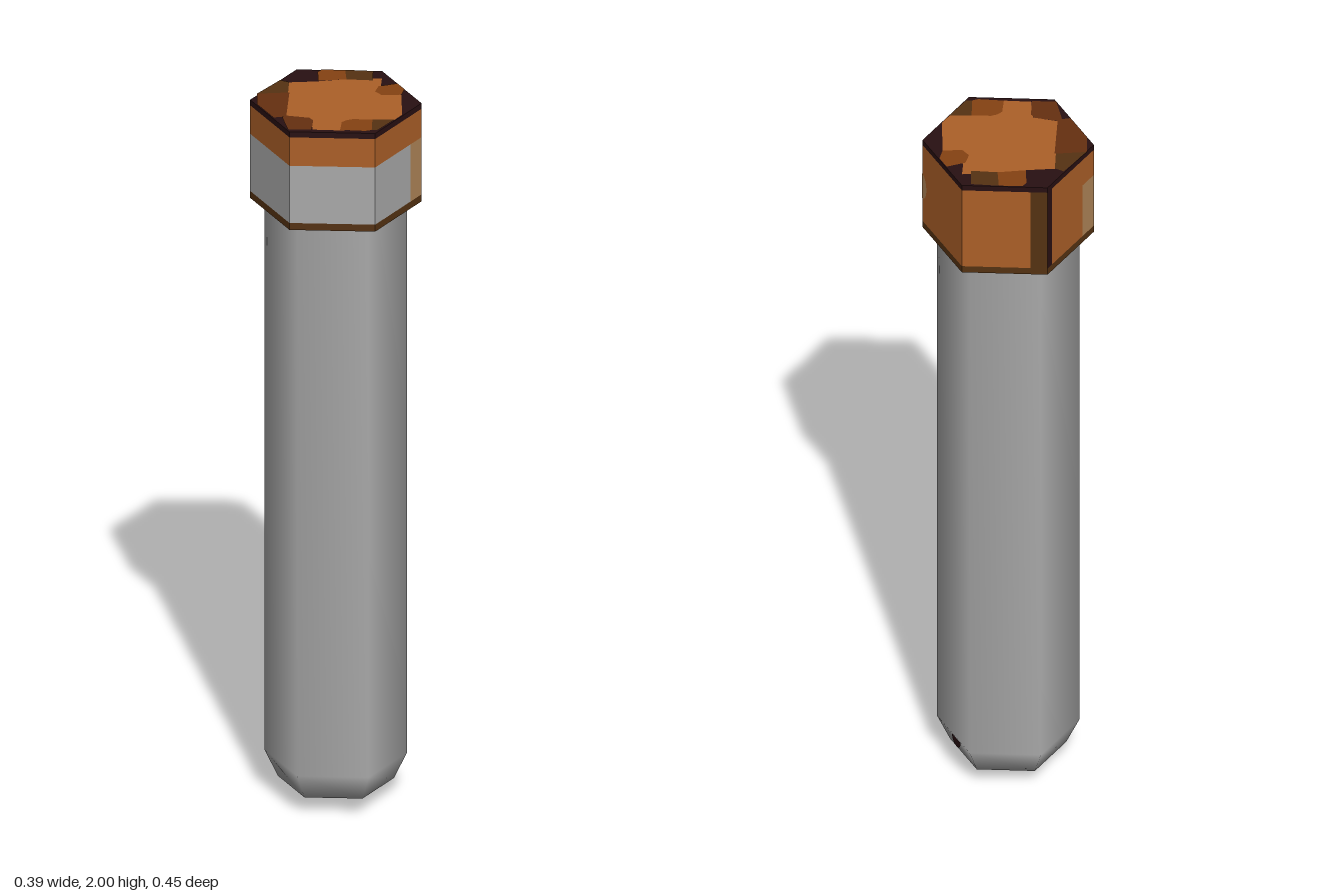
import * as THREE from 'three';

const R = 0.2245, TOP = 1.998;

// Point on the hexagonal cap outline; whole numbers are corners, 0 is the front one
function outline(s) {
  const i = Math.floor(s), f = s - i;
  const corner = k => new THREE.Vector2(Math.sin(k * Math.PI / 3), Math.cos(k * Math.PI / 3)).multiplyScalar(R);
  return corner(i).lerp(corner(i + 1), f);
}

// Upright band following the outline from s0 to s1
function band(s0, s1, y0, y1) {
  const stops = [s0];
  for (let k = Math.floor(s0) + 1; k < s1; k++) stops.push(k);
  stops.push(s1);
  const pos = [];
  for (let i = 0; i + 1 < stops.length; i++) {
    const a = outline(stops[i]);
    const b = outline(stops[i + 1] - 1e-7);
    pos.push(a.x, y0, a.y, b.x, y0, b.y, b.x, y1, b.y, a.x, y0, a.y, b.x, y1, b.y, a.x, y1, a.y);
  }
  const g = new THREE.BufferGeometry();
  g.setAttribute('position', new THREE.Float32BufferAttribute(pos, 3));
  g.computeVertexNormals();
  return g;
}

// Flat upward-facing polygon from [x, z] corners
function flat(points, y) {
  const shape = new THREE.Shape(points.map(([x, z]) => new THREE.Vector2(x, -z)));
  return new THREE.ShapeGeometry(shape).rotateX(-Math.PI / 2).translate(0, y, 0);
}

export function createModel() {
  const group = new THREE.Group();
  const material = (name, color) => {
    const m = new THREE.MeshStandardMaterial({ color });
    m.name = name;
    return m;
  };
  const grey = material('grey', 0xaaaaaa);
  const orange = material('orangeBrown', 0xac6028);
  const mid = material('midBrown', 0x854212);
  const deep = material('deepBrown', 0x663010);
  const dark = material('darkBrown', 0x553212);
  const black = material('blackBrown', 0x281012);
  const tan = material('tan', 0xb08558);

  const add = (name, geometry, mat) => {
    const mesh = new THREE.Mesh(geometry, mat);
    mesh.name = name;
    group.add(mesh);
    return mesh;
  };

  // Six-sided tube with a rounded bottom
  const profile = [[0, 0], [0.152, 0.05], [0.187, 0.125], [0.187, 1.72]].map(p => new THREE.Vector2(...p));
  add('tube', new THREE.LatheGeometry(profile, 6), grey);

  // Small dark spot near the bottom of the tube
  const spot = add('spot', new THREE.CircleGeometry(0.025, 12, Math.PI, Math.PI), black);
  spot.position.set(0.163, 0.125, -0.02);
  spot.rotation.set(0, Math.PI / 2, 0);

  // Cap walls: rims, coloured faces, corner strip and wraparound label
  [
    ['lowerRim', 0, 6, 1.715, 1.735, dark],
    ['upperRim', 0, 6, 1.982, TOP, black],
    ['capWallRight', 1, 2.8, 1.735, 1.9, orange],
    ['capWallBack', 3.1, 3.76, 1.735, 1.9, orange],
    ['capWallUpper', 3.1, 8.8, 1.9, 1.982, orange],
    ['cornerStrip', 2.8, 3, 1.735, 1.982, dark],
    ['cornerLine', 3, 3.1, 1.735, 1.982, black],
    ['label', 4, 6.76, 1.735, 1.9, grey],
    ['labelEndRight', 0.76, 1, 1.735, 1.9, tan],
    ['labelEndLeft', 3.76, 4, 1.735, 1.9, tan],
  ].forEach(([name, s0, s1, y0, y1, mat]) => add(name, band(s0, s1, y0, y1), mat));

  // Rounded tab at the end of the label
  const tab = add('labelTab', new THREE.CircleGeometry(0.04, 12, -Math.PI / 2, Math.PI), tan);
  tab.position.set(0.1955, 1.85, 0.112);
  tab.rotation.y = Math.PI / 2;
  tab.scale.x = 0.6;

  // Underside of the cap around the tube
  const under = new THREE.RingGeometry(0.18, R, 6, 1, Math.PI / 6);
  add('capUnderside', under.rotateX(Math.PI / 2).translate(0, 1.715, 0), dark);

  // Top of the cap, with flat coloured patches
  const corners = [0, 1, 2, 3, 4, 5].map(k => outline(k).toArray());
  add('capTop', flat(corners, TOP), black);
  add('topCentre', flat([[-0.055, -0.16], [0.012, -0.132], [0.1, -0.105], [0.172, -0.07], [0.148, -0.03],
    [0.17, 0.045], [0.115, 0.155], [0.083, 0.174], [0.03, 0.147], [-0.066, 0.172], [-0.135, 0.13],
    [-0.108, 0.066], [-0.16, 0.02]], TOP + 0.001), orange);
  [
    ['patchBack', mid, [[0.055, -0.19], [0.11, -0.16], [0.086, -0.106], [0.016, -0.132], [0.04, -0.182]]],
    ['patchBackRight', dark, [[0.11, -0.16], [0.172, -0.12], [0.145, -0.068], [0.086, -0.106]]],
    ['patchRight', mid, [[0.141, -0.03], [0.193, -0.023], [0.193, 0.018], [0.17, 0.045], [0.123, 0.023], [0.118, -0.005]]],
    ['patchFront', mid, [[-0.047, 0.125], [-0.03, 0.12], [-0.013, 0.122], [0.032, 0.147], [0, 0.205], [-0.016, 0.203], [-0.073, 0.166]]],
    ['patchFrontRight', dark, [[0.032, 0.147], [0.083, 0.174], [0.014, 0.212], [0, 0.205]]],
    ['patchFrontLeft', deep, [[-0.16, 0.02], [-0.11, 0.062], [-0.108, 0.08], [-0.138, 0.13], [-0.193, 0.1], [-0.172, 0.027]]],
    ['patchLeft', deep, [[-0.163, -0.134], [-0.084, -0.102], [-0.16, 0.027], [-0.193, 0.018], [-0.193, -0.075]]],
    ['patchBackLeft', dark, [[-0.163, -0.134], [-0.07, -0.182], [-0.055, -0.16], [-0.088, -0.102]]],
  ].forEach(([name, mat, points]) => add(name, flat(points, TOP + 0.002), mat));

  return group;
}
